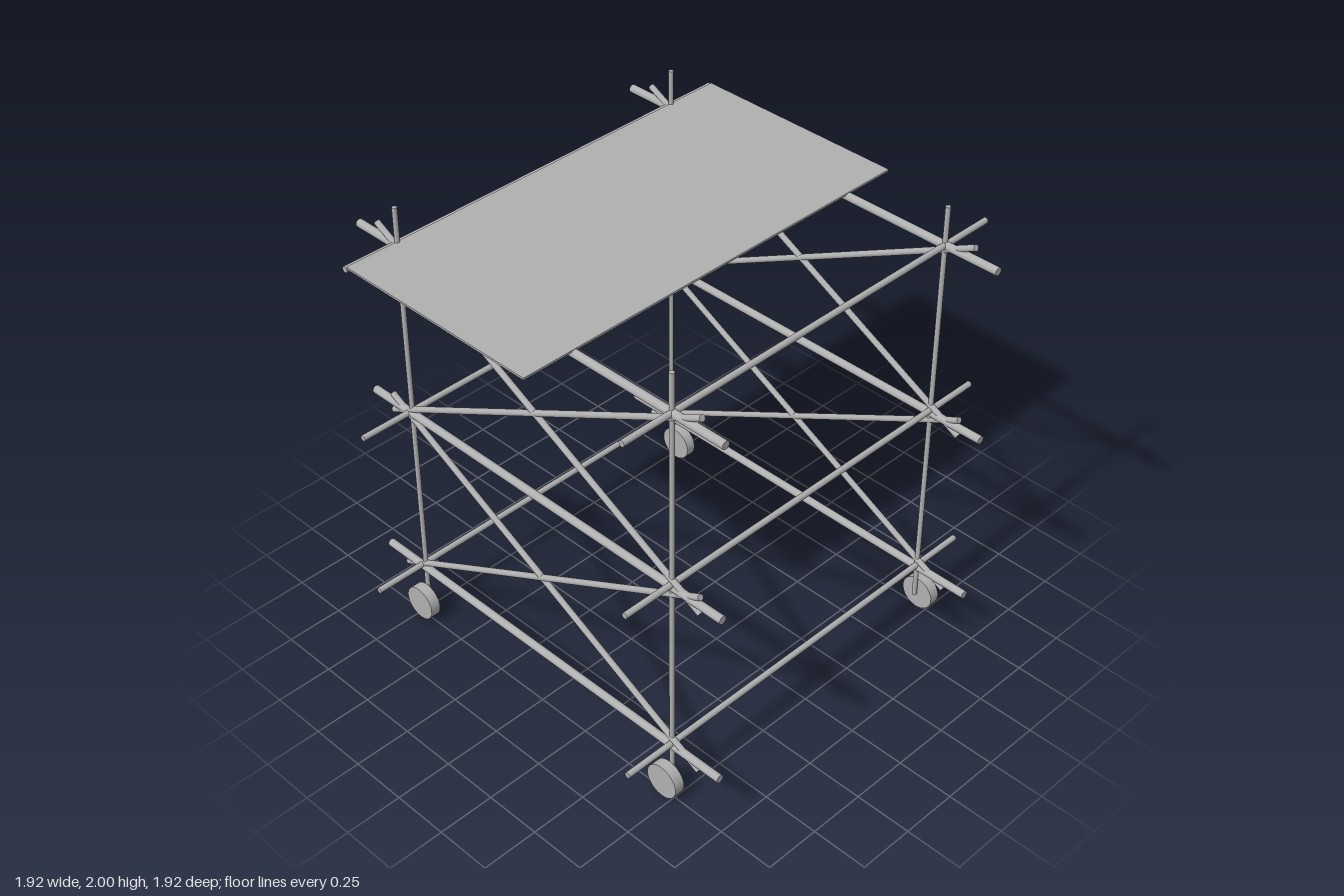
import * as THREE from 'three';

export function createModel() {
  const model = new THREE.Group();
  model.name = 'scaffoldTower';
  const steel = new THREE.MeshStandardMaterial({ color: 0xb0b0b0 });
  steel.name = 'steelGrey';

  const add = (name, geometry, parent = model) => {
    const mesh = new THREE.Mesh(geometry, steel);
    mesh.name = name;
    parent.add(mesh);
    return mesh;
  };

  // Round tube between two points
  const up = new THREE.Vector3(0, 1, 0);
  const tube = (name, a, b, radius, parent) => {
    const start = new THREE.Vector3(...a);
    const end = new THREE.Vector3(...b);
    const dir = end.clone().sub(start);
    const mesh = add(name, new THREE.CylinderGeometry(radius, radius, dir.length(), 20), parent);
    mesh.position.copy(start).add(end).multiplyScalar(0.5);
    mesh.quaternion.setFromUnitVectors(up, dir.normalize());
  };

  // Front and back frames: posts, long rails, crossed braces and wheels
  const frames = [
    { name: 'frontFrame', z: 0.72, wheelZ: 0.755 },
    { name: 'backFrame', z: -0.723, wheelZ: -0.763 },
  ];
  for (const { name, z, wheelZ } of frames) {
    const frame = new THREE.Group();
    frame.name = name;
    model.add(frame);

    for (const x of [-0.735, 0.707]) {
      tube('post', [x, 0.08, z], [x, 2, z], 0.0105, frame);
      const wheel = add('wheel', new THREE.CylinderGeometry(0.076, 0.076, 0.046, 40), frame);
      wheel.rotation.x = Math.PI / 2;
      wheel.position.set(x < 0 ? -0.725 : 0.707, 0.076, wheelZ);
    }
    for (const y of [0.235, 1.043, 1.83]) {
      tube('longRail', [-0.96, y, z], [0.96, y, z], 0.0175, frame);
    }
    for (const y of [0.64, 1.443]) {
      for (const s of [-1, 1]) {
        tube('crossBrace', [-0.85, y - s * 0.441, z], [0.85, y + s * 0.441, z], 0.013, frame);
      }
    }
  }

  // Side rails joining the two frames
  for (const [x, heights] of [[-0.748, [0.248, 1.043, 1.832]], [0.71, [0.248, 1.058, 1.832]]]) {
    for (const y of heights) tube('sideRail', [x, y, -0.96], [x, y, 0.96], 0.013);
  }

  // Thin platform covering part of the top
  const deck = add('deck', new THREE.BoxGeometry(0.965, 0.009, 1.92));
  deck.position.set(-0.2545, 1.8445, 0);

  return model;
}
